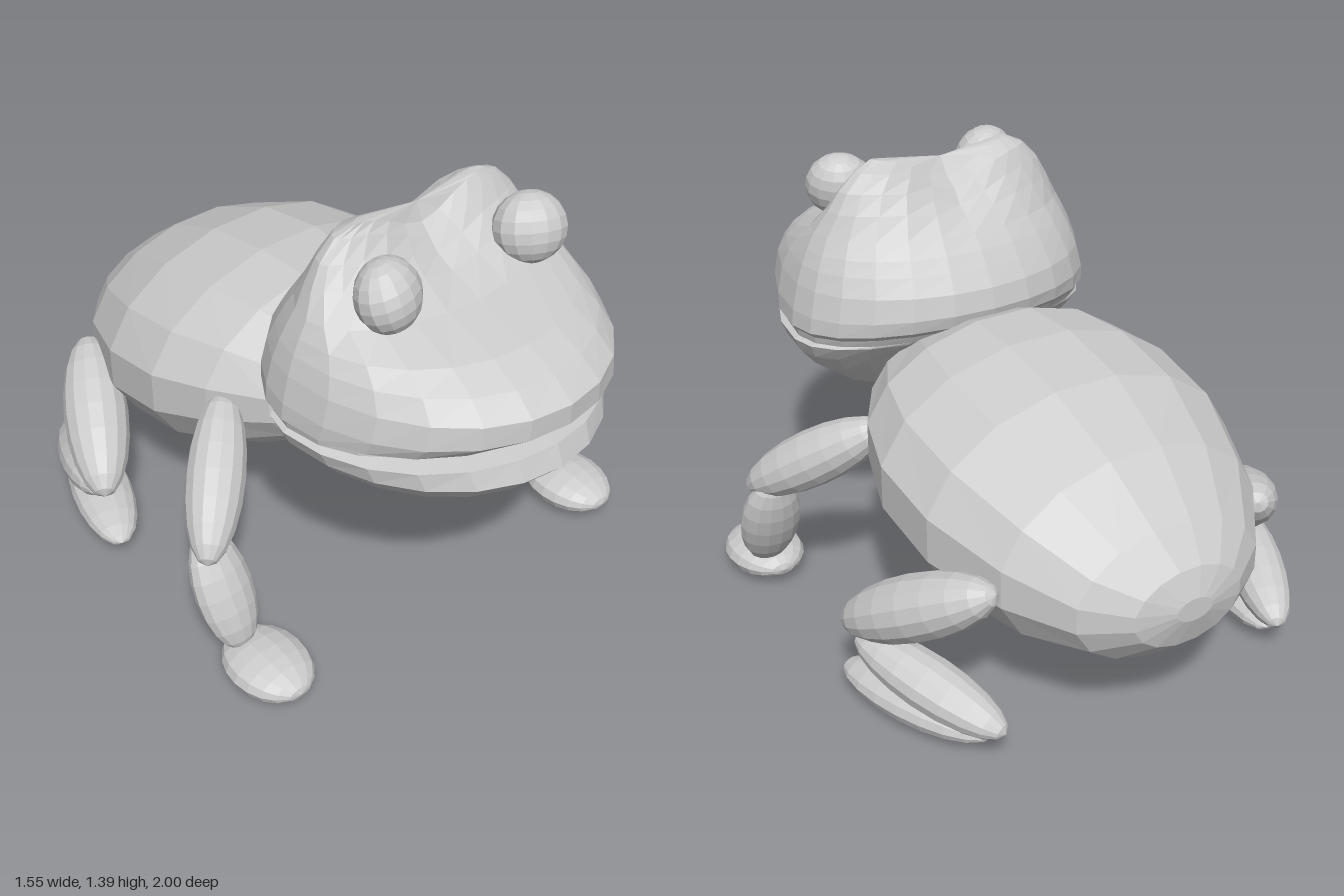
import * as THREE from 'three';

const material = new THREE.MeshStandardMaterial({ color: 0xcccccc, flatShading: true });

// Skin a list of closed rings (arrays of Vector3) and close both ends with fans.
function loft(name, rings) {
  const n = rings[0].length;
  const centre = ring => ring.reduce((s, p) => s.add(p), new THREE.Vector3()).divideScalar(n);
  const last = (rings.length - 1) * n;
  const points = [...rings.flat(), centre(rings[0]), centre(rings[rings.length - 1])];
  const startCap = points.length - 2, endCap = points.length - 1;
  const index = [];
  for (let j = 0; j < n; j++) {
    const k = (j + 1) % n;
    for (let i = 0; i < last; i += n) {
      index.push(i + j, i + n + j, i + k, i + k, i + n + j, i + n + k);
    }
    index.push(startCap, j, k, endCap, last + k, last + j);
  }
  const geometry = new THREE.BufferGeometry().setFromPoints(points);
  geometry.setIndex(index);
  geometry.computeVertexNormals();
  const mesh = new THREE.Mesh(geometry, material);
  mesh.name = name;
  return mesh;
}

// Ellipsoid with its poles at points a and b; rx is sideways, ry is the other radius.
function limb(name, a, b, rx, ry, side) {
  const start = new THREE.Vector3(a[0] * side, a[1], a[2]);
  const end = new THREE.Vector3(b[0] * side, b[1], b[2]);
  const geometry = new THREE.SphereGeometry(1, 14, 10).rotateX(Math.PI / 2);
  geometry.scale(rx, ry, start.distanceTo(end) / 2);
  const mesh = new THREE.Mesh(geometry, material);
  mesh.position.copy(start).add(end).multiplyScalar(0.5);
  mesh.lookAt(end);
  mesh.name = name;
  return mesh;
}

// Plump body: sections from chest to rump as [z, bottom, top, half width].
function createBody() {
  const sections = [
    [0.36, 0.66, 0.72, 0.1], [0.3, 0.59, 0.8, 0.24], [0.18, 0.48, 0.9, 0.37],
    [0, 0.36, 0.965, 0.48], [-0.2, 0.27, 0.965, 0.54], [-0.45, 0.21, 0.92, 0.53],
    [-0.7, 0.21, 0.81, 0.44], [-0.88, 0.26, 0.67, 0.31], [-0.97, 0.34, 0.58, 0.18],
    [-1, 0.43, 0.5, 0.06],
  ];
  return loft('body', sections.map(([z, bottom, top, w]) =>
    Array.from({ length: 16 }, (_, j) => {
      const t = (j + 0.5) / 16 * Math.PI * 2;
      return new THREE.Vector3(w * 1.02 * Math.cos(t),
        (top + bottom) / 2 + (top - bottom) / 2 * 1.02 * Math.sin(t), z);
    })));
}

// Head: horizontal outlines from crown to throat as [y, front z, back z, half width].
function createHead() {
  const outlines = [
    [1.395, 0.4, 0.34, 0.24], [1.365, 0.43, 0.29, 0.3], [1.31, 0.47, 0.26, 0.355],
    [1.25, 0.53, 0.22, 0.39], [1.18, 0.64, 0.17, 0.43], [1.13, 0.83, 0.13, 0.455],
    [1.085, 0.93, 0.1, 0.475], [1.03, 1, 0.065, 0.495], [0.965, 1, 0.05, 0.515],
    [0.925, 0.95, 0.06, 0.52], [0.91, 0.86, 0.075, 0.505], [0.885, 0.87, 0.09, 0.5],
    [0.875, 0.965, 0.1, 0.515], [0.81, 0.99, 0.16, 0.495], [0.74, 0.93, 0.22, 0.45],
    [0.66, 0.8, 0.29, 0.34], [0.61, 0.67, 0.35, 0.2], [0.59, 0.58, 0.42, 0.09],
  ];
  return loft('head', outlines.map(([y, front, back, w]) => {
    const mid = Math.min(0.42, (front + back) / 2 + 0.02);
    return Array.from({ length: 24 }, (_, j) => {
      const t = j / 24 * Math.PI * 2;
      const x = w * Math.sin(t), c = Math.cos(t);
      const z = mid + c * (c > 0 ? front - mid : mid - back);
      // Dip between the brows, and mouth corners drawn downwards
      const dip = 0.085 * Math.exp(-((x / 0.13) ** 2)) * THREE.MathUtils.smoothstep(y, 1.15, 1.37);
      const droop = 0.04 * (x / 0.5) ** 2 * Math.max(0, 1 - Math.abs(y - 0.9) / 0.15);
      return new THREE.Vector3(x, y - dip - droop, z);
    });
  }));
}

// One side's eye, foreleg and hind leg.
function createSide(side) {
  const group = new THREE.Group();
  group.name = side > 0 ? 'leftSide' : 'rightSide';
  group.add(
    limb('eye', [0.25, 1.165, 0.59], [0.28, 1.365, 0.53], 0.11, 0.09, side),
    limb('upperArm', [0.42, 0.69, 0.01], [0.74, 0.41, 0.34], 0.09, 0.09, side),
    limb('forearm', [0.69, 0.46, 0.25], [0.67, 0.09, 0.41], 0.098, 0.065, side),
    limb('frontFoot', [0.645, 0.067, 0.33], [0.645, 0.067, 0.65], 0.125, 0.064, side),
    limb('thigh', [0.46, 0.51, -0.71], [0.71, 0.25, -0.26], 0.105, 0.1, side),
    limb('shin', [0.7, 0.23, -0.32], [0.49, 0.11, -0.81], 0.09, 0.075, side),
    limb('hindFoot', [0.5, 0.065, -0.75], [0.69, 0.065, -0.22], 0.1, 0.06, side),
  );
  return group;
}

export function createModel() {
  const model = new THREE.Group();
  model.name = 'frog';
  model.add(createBody(), createHead(), createSide(1), createSide(-1));
  return model;
}
